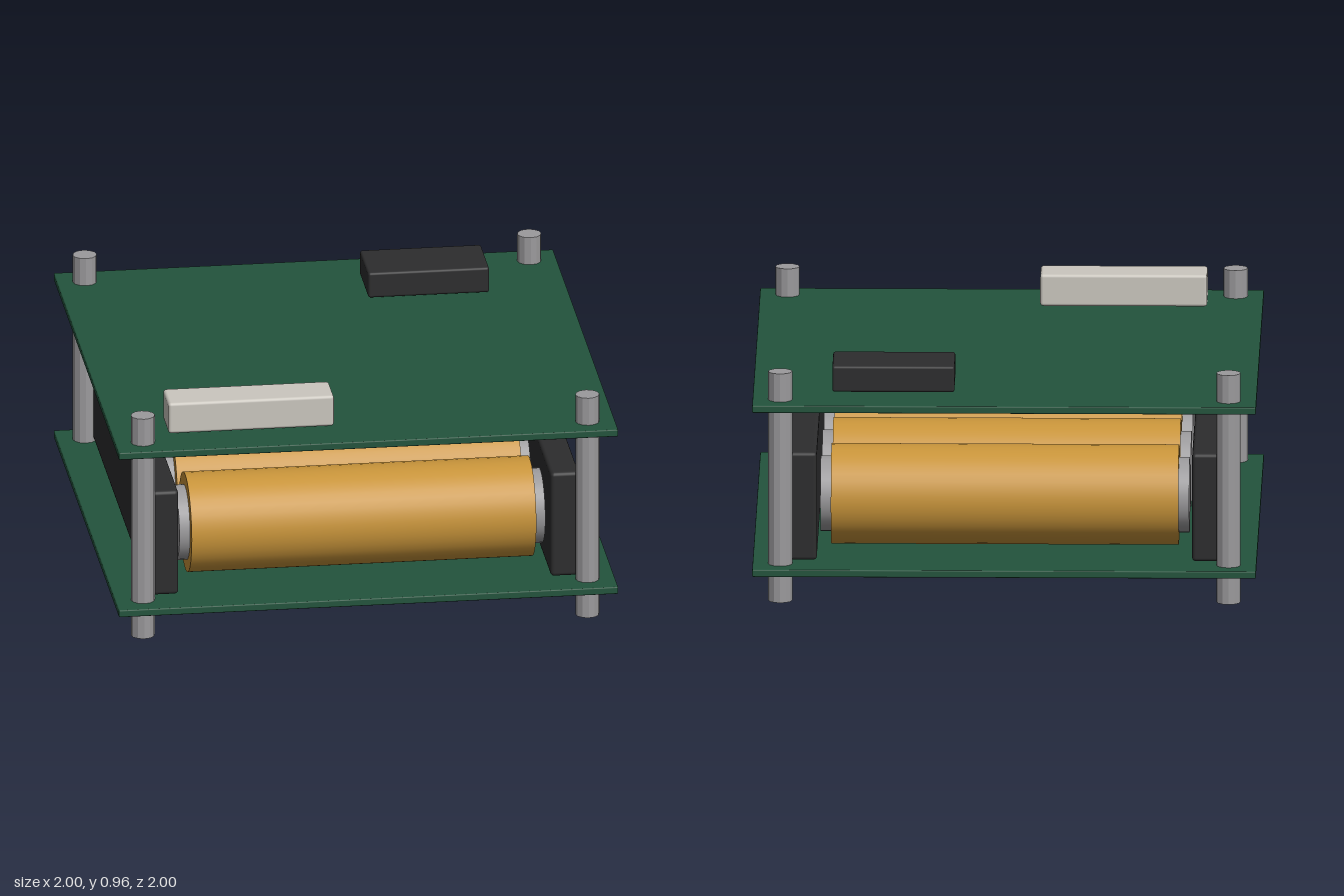
import * as THREE from 'three';
import { RoundedBoxGeometry } from 'three/addons/geometries/RoundedBoxGeometry.js';

function material(name, color, flatShading = false) {
  const m = new THREE.MeshStandardMaterial({ color, flatShading });
  m.name = name;
  return m;
}

export function createModel() {
  const model = new THREE.Group();
  model.name = 'batteryBoardStack';
  const green = material('boardGreen', 0x23543d);
  const black = material('blackPlastic', 0x2d2d2e);
  const orange = material('cellWrap', 0xc8943a);
  const metal = material('steel', 0x9b9a9c);
  const white = material('connectorWhite', 0xcbc7bf);
  const postMetal = metal;

  function add(name, geometry, mat, x, y, z, parent = model) {
    const mesh = new THREE.Mesh(geometry, mat);
    mesh.name = name;
    mesh.position.set(x, y, z);
    parent.add(mesh);
    return mesh;
  }

  // Box given by its minimum and maximum corners, with softened edges
  function box(name, mat, min, max, radius) {
    const s = max.map((v, i) => v - min[i]);
    const c = max.map((v, i) => (v + min[i]) / 2);
    return add(name, new RoundedBoxGeometry(s[0], s[1], s[2], 2, radius), mat, ...c);
  }

  // Two circuit boards
  box('lowerBoard', green, [-1, 0.12, -1], [1, 0.15, 1], 0.005);
  box('upperBoard', green, [-1, 0.79, -1], [1, 0.82, 1], 0.005);

  // Faceted corner standoffs
  const postGeometry = new THREE.CylinderGeometry(0.048, 0.048, 0.935, 12).toNonIndexed();
  postGeometry.computeVertexNormals();
  for (const x of [-0.89, 0.89]) {
    for (const z of [-0.89, 0.89]) add('standoff', postGeometry, postMetal, x, 0.4675, z);
  }

  // Holder walls at both ends of the cells
  for (const side of [-1, 1]) {
    const a = side * 0.745, b = side * 0.86;
    box('cellHolder', black, [Math.min(a, b), 0.16, -0.88], [Math.max(a, b), 0.6, 0.88], 0.015);
  }

  // Row of four cells lying across the board, each with metal end caps
  const wrap = new THREE.CylinderGeometry(0.2, 0.2, 1.38, 40).rotateZ(Math.PI / 2);
  const cap = new THREE.CylinderGeometry(0.15, 0.15, 0.045, 32).rotateZ(Math.PI / 2);
  for (let i = 0; i < 4; i++) {
    const cell = new THREE.Group();
    cell.name = 'cell';
    cell.position.set(0, 0.382, (i - 1.5) * 0.44);
    add('cellWrap', wrap, orange, 0, 0, 0, cell);
    for (const side of [-1, 1]) add('cellTerminal', cap, metal, side * 0.71, 0, 0, cell);
    model.add(cell);
  }

  // Parts on the upper board
  box('connector', white, [-0.78, 0.828, 0.668], [-0.117, 0.957, 0.838], 0.012);
  box('controlChip', black, [0.2, 0.828, -0.8], [0.685, 0.934, -0.54], 0.01);

  return model;
}
